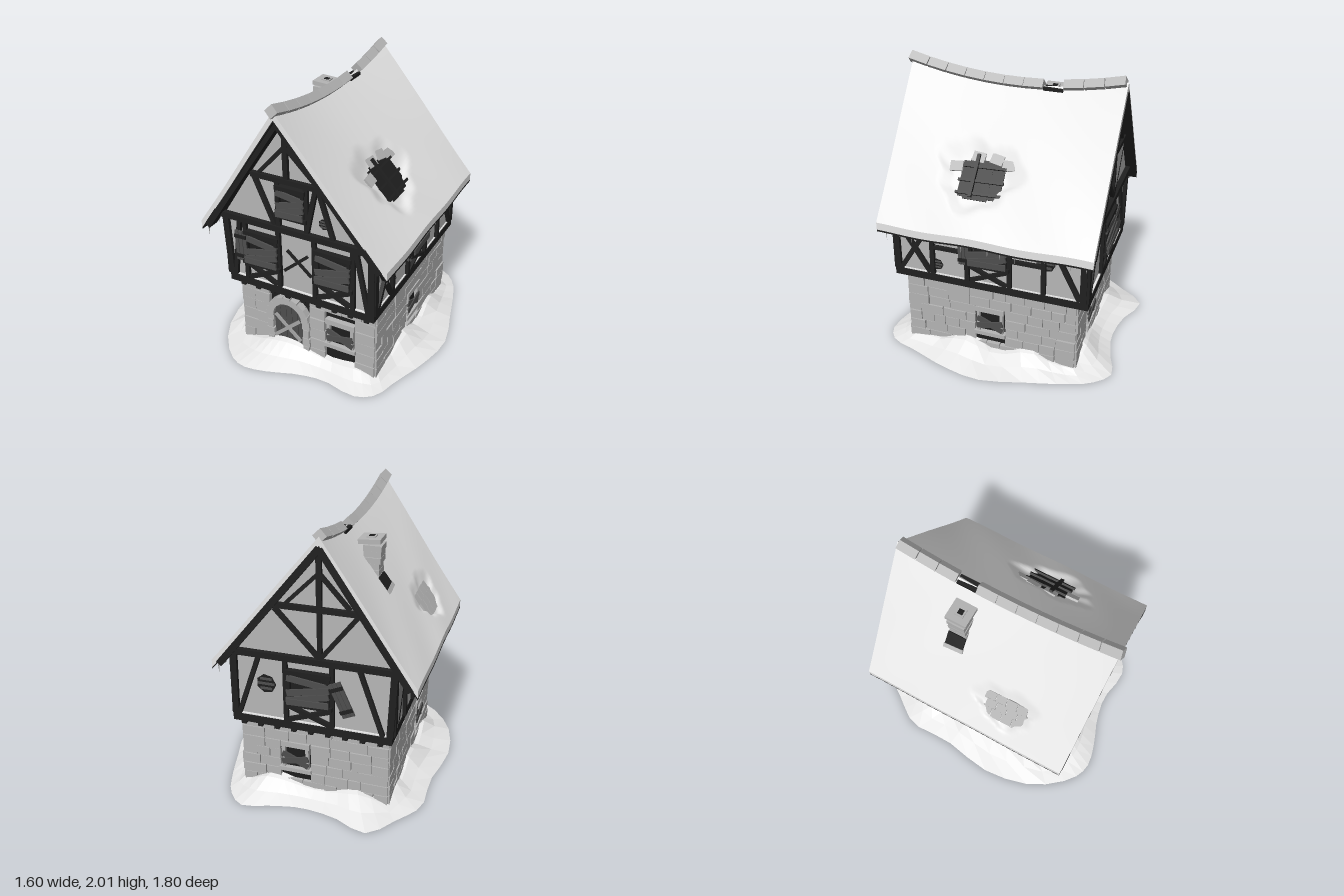
import * as THREE from 'three';

const mat = (name, color, side = THREE.FrontSide) => {
  const m = new THREE.MeshStandardMaterial({ color, side });
  m.name = name;
  return m;
};
const M = {
  snow: mat('snow', 0xe6e6e6),
  plaster: mat('plaster', 0xb6b6b6),
  stone: mat('stone', 0xb4b4b4),
  tile: mat('tile', 0xb4b4b4),
  beam: mat('dark timber', 0x202020),
  plank: mat('weathered plank', 0x4e4e4e),
  pale: mat('pale plank', 0xa6a6a6),
  dark: mat('dark recess', 0x1e1e1e, THREE.DoubleSide),
};

let seed = 7;
const rnd = () => (seed = (seed * 16807) % 2147483647) / 2147483647;
const lerp = THREE.MathUtils.lerp;

function add(parent, name, geo, material, x = 0, y = 0, z = 0) {
  const m = new THREE.Mesh(geo, material);
  m.name = name;
  m.position.set(x, y, z);
  parent.add(m);
  return m;
}
const box = (parent, name, material, w, h, d, x, y, z) =>
  add(parent, name, new THREE.BoxGeometry(w, h, d), material, x, y, z);

// Wall frame: u runs right and v up as seen from outside, local z points outward
function wallFrame(root, name, x, z, turn) {
  const g = new THREE.Group();
  g.name = name;
  g.position.set(x, 0, z);
  g.rotation.y = turn;
  root.add(g);
  return g;
}

// Straight timber between two points on a wall
function beam(face, u1, v1, u2, v2, w = 0.035, d = 0.025, material = M.beam, name = 'timber', z = 0) {
  const len = Math.hypot(u2 - u1, v2 - v1);
  box(face, name, material, len, w, d, (u1 + u2) / 2, (v1 + v2) / 2, z + d / 2)
    .rotation.z = Math.atan2(v2 - v1, u2 - u1);
}

// Boarded-up window with timber or stone surround
function boardedWindow(face, u, v, w, h, stone = false) {
  const a = u - w / 2, b = u + w / 2, c = v - h / 2, e = v + h / 2;
  box(face, 'windowOpening', M.dark, w, h, 0.008, u, v, 0.006);
  const m = stone ? M.stone : M.beam;
  beam(face, a - 0.02, e, b + 0.02, e, stone ? 0.04 : 0.03, 0.04, m, 'lintel');
  beam(face, a - 0.03, c, b + 0.03, c, 0.03, 0.045, m, 'sill');
  for (const s of [a, b]) beam(face, s, c, s, e, 0.022, 0.035, m, 'jamb');
  const boards = stone ? [[0.62, 0.2], [0.3, 0.52]] : [[0.82, 0.66], [0.35, 0.6], [0.12, 0.42], [0.1, 0.14]];
  boards.forEach(([p, q], i) =>
    beam(face, a - 0.01, c + h * p, b + 0.01, c + h * q, 0.044, 0.012, M.plank, 'board', 0.026 + i * 0.006));
}

function shutter(face, u, v, w, h, tilt) {
  const g = new THREE.Group();
  g.name = 'shutter';
  g.position.set(u, v, 0.033);
  g.rotation.z = tilt;
  face.add(g);
  for (let i = -1; i <= 1; i++) box(g, 'shutterBoard', M.plank, w / 3 - 0.004, h, 0.014, i * w / 3, 0, 0);
  for (const s of [-1, 1]) box(g, 'shutterBatten', M.beam, w, 0.025, 0.01, 0, s * h * 0.33, 0.01);
}

// Patch of fallen plaster showing laths
function plasterHole(face, u, v, r) {
  add(face, 'plasterHole', new THREE.CircleGeometry(r, 7), M.dark, u, v, 0.004);
  for (let i = -1; i <= 1; i++) box(face, 'lath', M.plank, r * 1.7 - Math.abs(i) * r * 0.5, r * 0.24, 0.006, u, v + i * r * 0.5, 0.006);
}

// Coursed stones that skip rectangular openings [u0, v0, u1, v1]
function stonework(face, u0, u1, rows, holes) {
  const h = 0.53 / rows;
  for (let r = 0; r < rows; r++) {
    const v = 0.04 + (r + 0.5) * h;
    const cuts = holes.filter(o => v > o[1] && v < o[3]).sort((p, q) => p[0] - q[0]);
    let start = u0;
    for (const o of [...cuts, [u1, 0, u1, 0]]) {
      let u = start;
      while (u < o[0] - 0.015) {
        let w = 0.09 + rnd() * 0.09;
        if (o[0] - u - w < 0.06) w = o[0] - u;
        const d = 0.024 + rnd() * 0.01;
        box(face, 'stone', M.stone, w - 0.002 - rnd() * 0.005, h - 0.002 - rnd() * 0.005, d, u + w / 2, v, d / 2)
          .rotation.z = (rnd() - 0.5) * 0.03;
        u += w;
      }
      start = o[2];
    }
  }
}

// Sagging roof: t runs from ridge (0) to eave (1)
const ridgeY = z => 1.852 + 0.1 * (z / 0.77) ** 2;
const HOLES = { '1': [0.6, 0.14, 0.23, 0.3], '-1': [0.73, 0.25, 0.16, 0.23] };
function roofPoint(side, t, z, off) {
  const y = lerp(ridgeY(z), 1.03, t) + 0.006 * Math.sin(z * 9 + t * 7) * t;
  return new THREE.Vector3(lerp(-0.1, side > 0 ? 0.655 : -0.728, t), y + off, z);
}
function roofDent(side, t, z) {
  const [ct, cz, rt, rz] = HOLES[side];
  const a = Math.atan2((z - cz) / rz, (t - ct) / rt);
  const r = Math.hypot((t - ct) / rt, (z - cz) / rz) / (1 + 0.13 * Math.sin(a * 3 + 1) + 0.08 * Math.sin(a * 7));
  return -0.052 * THREE.MathUtils.clamp((1 - r) / 0.38, 0, 1);
}
function roofSlab(root, name, side, top, bottom, material, dent) {
  const geo = new THREE.BoxGeometry(1, 1, 1, 44, 1, 76);
  const p = geo.attributes.position;
  for (let i = 0; i < p.count; i++) {
    const t = 0.5 + side * p.getX(i), v = p.getZ(i);
    const z = 0.005 + v * (v > 0 ? 1.51 + 0.04 * (1 - t) : 1.5);
    const up = p.getY(i) > 0;
    const q = roofPoint(side, t, z, up ? top + (dent ? roofDent(side, t, z) : 0) : bottom);
    p.setXYZ(i, q.x, q.y, q.z);
  }
  geo.computeVertexNormals();
  add(root, name, geo, material);
}
// Box laid flat on a roof slope
function onRoof(root, name, side, t, z, off, l, h, d, material, spin = 0) {
  const m = box(root, name, material, l, h, d, 0, 0, 0);
  m.position.copy(roofPoint(side, t, z, off));
  const e = roofPoint(side, 1, z, 0).sub(roofPoint(side, 0, z, 0));
  m.rotation.set(0, spin, Math.atan2(e.y, e.x) + (side < 0 ? Math.PI : 0), 'ZYX');
}

// Snow bank around the foot of the walls, with a lip showing inside
function snowBank(root) {
  const pts = [[-0.45, -0.9], [-0.2, -0.81], [0.05, -0.78], [0.25, -0.82], [0.45, -0.87], [0.58, -0.75], [0.65, -0.58],
    [0.72, -0.33], [0.8, 0], [0.75, 0.28], [0.65, 0.55], [0.58, 0.74], [0.45, 0.81], [0.2, 0.77], [0, 0.8], [-0.2, 0.87],
    [-0.38, 0.9], [-0.52, 0.84], [-0.72, 0.58], [-0.8, 0.2], [-0.74, -0.2], [-0.74, -0.52], [-0.62, -0.7]];
  const outline = new THREE.CatmullRomCurve3(pts.map(([x, z]) => new THREE.Vector3(x, 0, z)), true);
  const N = 52, R = 6, pos = [], idx = [];
  for (let i = 0; i < N; i++) {
    const o = outline.getPoint(i / N);
    const s = Math.min(0.51 / Math.abs(o.x), 0.6 / Math.abs(o.z));
    const x = o.x * s, z = o.z * s;
    const corner = THREE.MathUtils.smoothstep(Math.abs(x) / 0.51 + Math.abs(z) / 0.6, 1.55, 2);
    const h = lerp(0.11 + 0.035 * Math.sin(x * 9 + z * 14 + 0.8), 0.06, corner);
    pos.push(x, h, z);
    for (const [f, k] of [[0.22, 0.85], [0.55, 0.36], [1, 0]]) pos.push(lerp(x, o.x, f), h * k, lerp(z, o.z, f));
    pos.push(x * 0.925, 0, z * 0.94, x * 0.925, h * 0.6, z * 0.94);
    const j = (i + 1) % N;
    for (let k = 0; k < R; k++) {
      const n = (k + 1) % R, a = i * R + k, b = i * R + n, c = j * R + k, d = j * R + n;
      idx.push(a, c, b, b, c, d);
    }
  }
  let geo = new THREE.BufferGeometry();
  geo.setAttribute('position', new THREE.Float32BufferAttribute(pos, 3));
  geo.setIndex(idx);
  geo = geo.toNonIndexed();
  geo.computeVertexNormals();
  add(root, 'snowBank', geo, M.snow);
}

export function createModel() {
  const root = new THREE.Group();
  root.name = 'snowyCottage';
  snowBank(root);

  // Hollow ground floor core, floor slab and upper storey
  for (const s of [-1, 1]) {
    box(root, 'innerWall', M.dark, 1.01, 0.56, 0.03, -0.005, 0.29, s * 0.585);
    box(root, 'innerWall', M.dark, 0.03, 0.56, 1.2, -0.005 + s * 0.49, 0.29, 0);
  }
  box(root, 'floorBeam', M.beam, 1.11, 0.055, 1.4, -0.01, 0.6, 0);
  box(root, 'beamSnow', M.snow, 1.1, 0.008, 1.39, -0.01, 0.631, 0);
  box(root, 'upperWalls', M.plaster, 1.09, 0.45, 1.36, -0.015, 0.855, 0);
  const gable = new THREE.Shape([[-0.6, 1.07], [0.55, 1.05], [-0.1, 1.86]].map(p => new THREE.Vector2(...p)));
  for (const z of [-0.68, 0.64])
    add(root, 'gableWall', new THREE.ExtrudeGeometry(gable, { depth: 0.04, bevelEnabled: false }), M.plaster, 0, 0, z);

  // Ground floor stonework
  const gF = wallFrame(root, 'groundFront', 0, 0.6, 0), gR = wallFrame(root, 'groundRight', 0.5, 0, Math.PI / 2);
  const gB = wallFrame(root, 'groundBack', 0, -0.6, Math.PI), gL = wallFrame(root, 'groundLeft', -0.51, 0, -Math.PI / 2);
  stonework(gF, -0.53, 0.52, 6, [[-0.3, 0, 0.02, 0.6], [0.14, 0.08, 0.37, 0.5]]);
  [[gR, 0, 0.62, 0.62], [gB, -0.13, 0.52, 0.53], [gL, 0.25, 0.62, 0.62]].forEach(([f, u, a, b]) => {
    stonework(f, -a, b, 7, [[u - 0.11, 0.14, u + 0.11, 0.44]]);
    boardedWindow(f, u, 0.3, 0.17, 0.2, true);
  });
  boardedWindow(gF, 0.26, 0.31, 0.18, 0.2, true);

  // Arched door with stone surround and crossed planks
  const dx = -0.15;
  for (let i = -2; i <= 2; i++)
    box(gF, 'doorBoard', M.plank, 0.044, 0.4 - Math.abs(i) * 0.025, 0.02, dx + i * 0.047, 0.24 - Math.abs(i) * 0.012, 0.012);
  for (let i = 0; i < 9; i++) {
    const a = (i + 0.5) * Math.PI / 9;
    box(gF, 'archStone', M.stone, 0.055, 0.053, 0.05, dx + Math.cos(a) * 0.14, 0.335 + Math.sin(a) * 0.14, 0.025).rotation.z = a;
  }
  for (const s of [-1, 1]) {
    for (let i = 0; i < 4; i++) box(gF, 'jambStone', M.stone, 0.045 + (i % 2) * 0.015, 0.068, 0.045, dx + s * 0.145, 0.095 + i * 0.072, 0.022);
    beam(gF, dx - s * 0.1, 0.16, dx + s * 0.1, 0.34, 0.024, 0.012, M.pale, 'doorPlank', 0.04 + s * 0.006);
    beam(gF, dx - s * 0.13, 0.33, dx + s * 0.02, 0.25, 0.04, 0.01, M.plank, 'doorPlank', 0.026);
  }

  // Joist ends below the floor beam
  for (const f of [gF, gB])
    for (let i = 0; i < 9; i++) box(f, 'joistEnd', M.beam, 0.035, 0.035, 0.09, -0.48 + i * 0.12, 0.556, 0.035);

  // Upper storey timber frames
  const uF = wallFrame(root, 'upperFront', 0, 0.68, 0), uB = wallFrame(root, 'upperBack', 0, -0.68, Math.PI);
  const uR = wallFrame(root, 'upperRight', 0.53, 0, Math.PI / 2), uL = wallFrame(root, 'upperLeft', -0.56, 0, -Math.PI / 2);
  for (const [f, m, reach] of [[uF, 1, 0.084], [uB, -1, 0.069]]) {
    const k = (u1, v1, u2, v2, w, d) => beam(f, m * u1, v1, m * u2, v2, w, d);
    k(-0.61, 1.1, 0.56, 1.1, 0.042, 0.035);
    k(-0.34, 1.46, 0.24, 1.46, 0.035, 0.03);
    k(-0.08, 1.47, -0.08, 1.84);
    k(-0.08, 1.7, -0.28, 1.48, 0.025);
    k(-0.08, 1.7, 0.14, 1.48, 0.025);
    k(-0.68, 1.01, -0.1, 1.87, 0.045, reach);
    k(0.605, 1.01, -0.1, 1.875, 0.045, reach);
    k(-0.55, 0.63, -0.57, 1.09, 0.045);
    k(0.525, 0.63, 0.52, 1.09, 0.045);
  }
  const front = [[-0.16, 0.63, -0.16, 1.09], [0.11, 0.63, 0.11, 1.09], [0.39, 0.63, 0.39, 1.09], [-0.42, 0.63, -0.42, 1.09],
    [-0.52, 0.63, -0.46, 1.09], [0.5, 0.63, 0.41, 1.09], [-0.4, 0.64, -0.18, 0.75], [-0.4, 0.75, -0.18, 0.64],
    [0.13, 0.64, 0.37, 0.75], [0.13, 0.75, 0.37, 0.64], [-0.15, 1.11, -0.15, 1.45], [0.06, 1.11, 0.06, 1.45],
    [0.13, 1.45, 0.06, 1.12], [-0.32, 1.45, -0.18, 1.12], [0.15, 1.45, 0.25, 1.12]];
  front.forEach(b => beam(uF, ...b, 0.03));
  for (const s of [-1, 1]) beam(uF, -0.02 - s * 0.1, 0.78, -0.02 + s * 0.08, 0.94, 0.02, 0.012, M.beam, 'crossedStick', s * 0.005 + 0.006);
  boardedWindow(uF, -0.29, 0.89, 0.23, 0.23);
  boardedWindow(uF, 0.25, 0.89, 0.23, 0.23);
  boardedWindow(uF, -0.05, 1.31, 0.18, 0.2);
  shutter(uF, -0.445, 0.89, 0.09, 0.23, 0.02);
  plasterHole(uF, 0.18, 1.21, 0.04);

  const back = [[-0.16, 0.63, -0.16, 1.09], [0.16, 0.63, 0.16, 1.09], [-0.5, 0.63, -0.34, 1.09], [0.5, 0.63, 0.34, 1.09],
    [-0.15, 0.64, 0.15, 0.75], [-0.15, 0.75, 0.15, 0.64], [0.08, 1.11, 0.08, 1.45], [0.08, 1.12, 0.33, 1.44], [0.08, 1.12, -0.22, 1.44]];
  back.forEach(b => beam(uB, ...b, 0.03));
  boardedWindow(uB, 0, 0.89, 0.27, 0.23);
  shutter(uB, 0.23, 0.86, 0.09, 0.25, 0.42);
  plasterHole(uB, -0.3, 0.88, 0.07);

  // Long sides share a layout, mirrored
  for (const [f, m] of [[uR, 1], [uL, -1]]) {
    const k = (u1, v1, u2, v2, w = 0.032) => beam(f, m * u1, v1, m * u2, v2, w);
    for (const u of [-0.675, -0.41, -0.155, 0.15, 0.39, 0.665]) k(u, 0.63, u, 1.07, Math.abs(u) > 0.6 ? 0.045 : 0.032);
    k(-0.65, 0.64, -0.43, 1.0); k(-0.65, 1.0, -0.43, 0.64);
    k(-0.4, 0.85, -0.17, 0.85, 0.025); k(0.15, 0.85, 0.38, 0.85, 0.025);
    k(0.46, 1.0, 0.64, 0.64);
    k(-0.13, 0.64, 0.13, 0.75, 0.025); k(-0.13, 0.75, 0.13, 0.64, 0.025);
    boardedWindow(f, 0, 0.89, 0.25, 0.22);
    shutter(f, m * -0.17, 0.88, 0.08, 0.22, 0.03);
    plasterHole(f, m * -0.38, 0.71, 0.045);
    plasterHole(f, m * 0.4, 0.88, 0.07);
  }

  // Snow-covered roof slopes with weathered gaps
  for (const s of [-1, 1]) {
    roofSlab(root, 'roofSnow', s, 0, -0.055, M.snow, true);
    roofSlab(root, 'roofBoards', s, -0.056, -0.068, M.beam, false);
    for (let i = 0; i < 16; i++) {
      const len = 0.03 + rnd() * 0.07;
      const c = add(root, 'icicle', new THREE.ConeGeometry(0.007, len, 5), M.pale, s > 0 ? 0.63 : -0.7, 0.985 - len / 2, -0.7 + i * 0.093 + rnd() * 0.03);
      c.rotation.x = Math.PI;
    }
  }
  onRoof(root, 'roofOpening', 1, 0.6, 0.11, -0.044, 0.25, 0.008, 0.3, M.dark);
  onRoof(root, 'roofOpening', 1, 0.6, 0.13, -0.043, 0.28, 0.008, 0.17, M.dark);
  for (const t of [0.53, 0.62, 0.7]) onRoof(root, 'roofBatten', 1, t, 0.11, -0.026, 0.018, 0.016, 0.32, M.beam, 0.03);
  onRoof(root, 'roofRafter', 1, 0.6, 0.16, -0.012, 0.3, 0.02, 0.024, M.beam);
  [[0.47, 0.03], [0.47, 0.16], [0.5, -0.06], [0.55, 0.3]].forEach(([t, z], i) =>
    onRoof(root, 'roofTile', 1, t, z, -0.03, 0.07, 0.016, 0.09, M.tile, 0.1 * (i - 2)));
  for (let i = 0; i < 3; i++)
    for (let j = 0; j < 4; j++) onRoof(root, 'roofTile', -1, 0.665 + i * 0.064, 0.13 + j * 0.078 + (i % 2) * 0.02, -0.046, 0.073, 0.016, 0.074, M.tile, 0.04 * (j - 1));

  // Ridge caps with one missing
  for (let i = 0; i < 11; i++) {
    const z = 0.73 - i * 0.1395;
    if (i === 7) box(root, 'ridgeGap', M.dark, 0.065, 0.02, 0.14, -0.1, ridgeY(z) - 0.018, z);
    else box(root, 'ridgeCap', M.tile, 0.064, 0.064, 0.136, -0.1, ridgeY(z) + 0.004, z)
      .rotation.set(-Math.atan(0.2 * z / 0.593), 0, Math.PI / 4);
  }

  // Crooked chimney
  onRoof(root, 'chimneyGap', -1, 0.43, -0.21, 0.003, 0.1, 0.012, 0.13, M.dark);
  onRoof(root, 'looseTile', -1, 0.49, -0.21, 0.006, 0.03, 0.016, 0.14, M.tile, 0.08);
  for (let i = 0; i < 8; i++)
    box(root, 'chimneyCourse', M.stone, 0.115 + (i % 2) * 0.01, 0.039, 0.115 + (i % 2) * 0.01, -0.285 + Math.sin(i * 0.7) * 0.008, 1.45 + i * 0.041, -0.205);
  box(root, 'chimneyCap', M.stone, 0.15, 0.03, 0.15, -0.275, 1.785, -0.205).rotation.z = -0.06;
  box(root, 'flueCollar', M.stone, 0.06, 0.01, 0.06, -0.275, 1.803, -0.205).rotation.z = -0.06;
  box(root, 'flue', M.dark, 0.036, 0.008, 0.036, -0.275, 1.806, -0.205).rotation.z = -0.06;
  return root;
}
